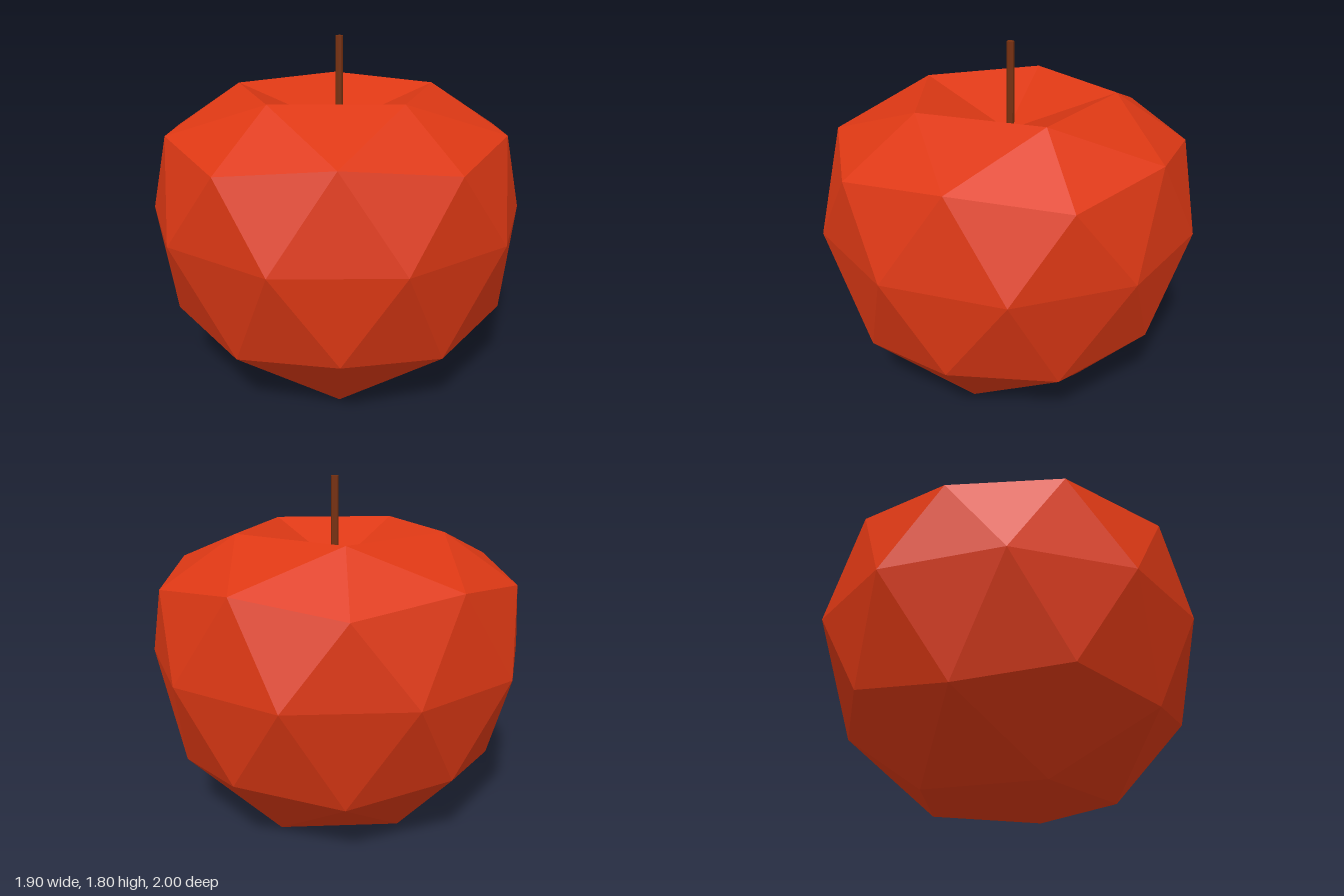
import * as THREE from 'three';

// Ring of points about the y axis; odd-numbered points may use their own radius, height and x shift.
function ring(count, startDeg, even, odd = even) {
  return Array.from({ length: count }, (_, i) => {
    const [r, y, cx] = i % 2 ? odd : even;
    const a = THREE.MathUtils.degToRad(startDeg + (360 / count) * i);
    return new THREE.Vector3(cx + r * Math.cos(a), y, r * Math.sin(a));
  });
}

function createBody() {
  // Levels of a once-subdivided icosahedron, pressed in at both poles
  const topPole = new THREE.Vector3(0, 1.33, 0);
  const topRim = ring(5, 0, [0.553, 1.53, -0.01]);
  const shoulder = ring(10, 0, [0.94, 1.275, 0], [0.895, 1.34, -0.005]);
  const belly = ring(10, 18, [1, 0.875, -0.003]);
  const lower = ring(10, 0, [0.849, 0.335, 0.017], [0.893, 0.41, 0.018]);
  const bottomRim = ring(5, 36, [0.525, 0, 0.02]);
  const bottomPole = new THREE.Vector3(0.01, 0.13, 0);

  const points = [];
  const tri = (a, b, c) => points.push(a, b, c);

  // Dimple fan and the band joining a five-point rim to a ten-point ring
  const cap = (pole, rim, outer, offset, face) => {
    for (let k = 0; k < 5; k++) {
      const p = rim[k], q = rim[(k + 1) % 5];
      const [u, v, w] = [0, 1, 2].map((i) => outer[(2 * k + offset + i) % 10]);
      face(pole, q, p);
      face(p, v, u);
      face(q, w, v);
      face(p, q, v);
    }
  };
  cap(topPole, topRim, shoulder, 0, tri);
  cap(bottomPole, bottomRim, lower, 1, (a, b, c) => tri(a, c, b));

  // Two zigzag bands meeting at the widest level
  for (let j = 0; j < 10; j++) {
    const n = (j + 1) % 10, p = (j + 9) % 10;
    tri(shoulder[j], shoulder[n], belly[j]);
    tri(shoulder[j], belly[j], belly[p]);
    tri(belly[p], belly[j], lower[j]);
    tri(belly[j], lower[n], lower[j]);
  }

  const geometry = new THREE.BufferGeometry().setFromPoints(points);
  geometry.computeVertexNormals();
  const mesh = new THREE.Mesh(
    geometry,
    new THREE.MeshStandardMaterial({ color: 0xdd3814, flatShading: true })
  );
  mesh.name = 'fruitBody';
  return mesh;
}

function createStem() {
  const bottom = 1.31, top = 1.8;
  const stem = new THREE.Mesh(
    new THREE.CylinderGeometry(0.02, 0.02, top - bottom, 8),
    new THREE.MeshStandardMaterial({ color: 0x77300f, flatShading: true })
  );
  stem.position.set(-0.004, (top + bottom) / 2, -0.02);
  stem.name = 'stem';
  return stem;
}

export function createModel() {
  const group = new THREE.Group();
  group.name = 'apple';
  group.add(createBody(), createStem());
  return group;
}
